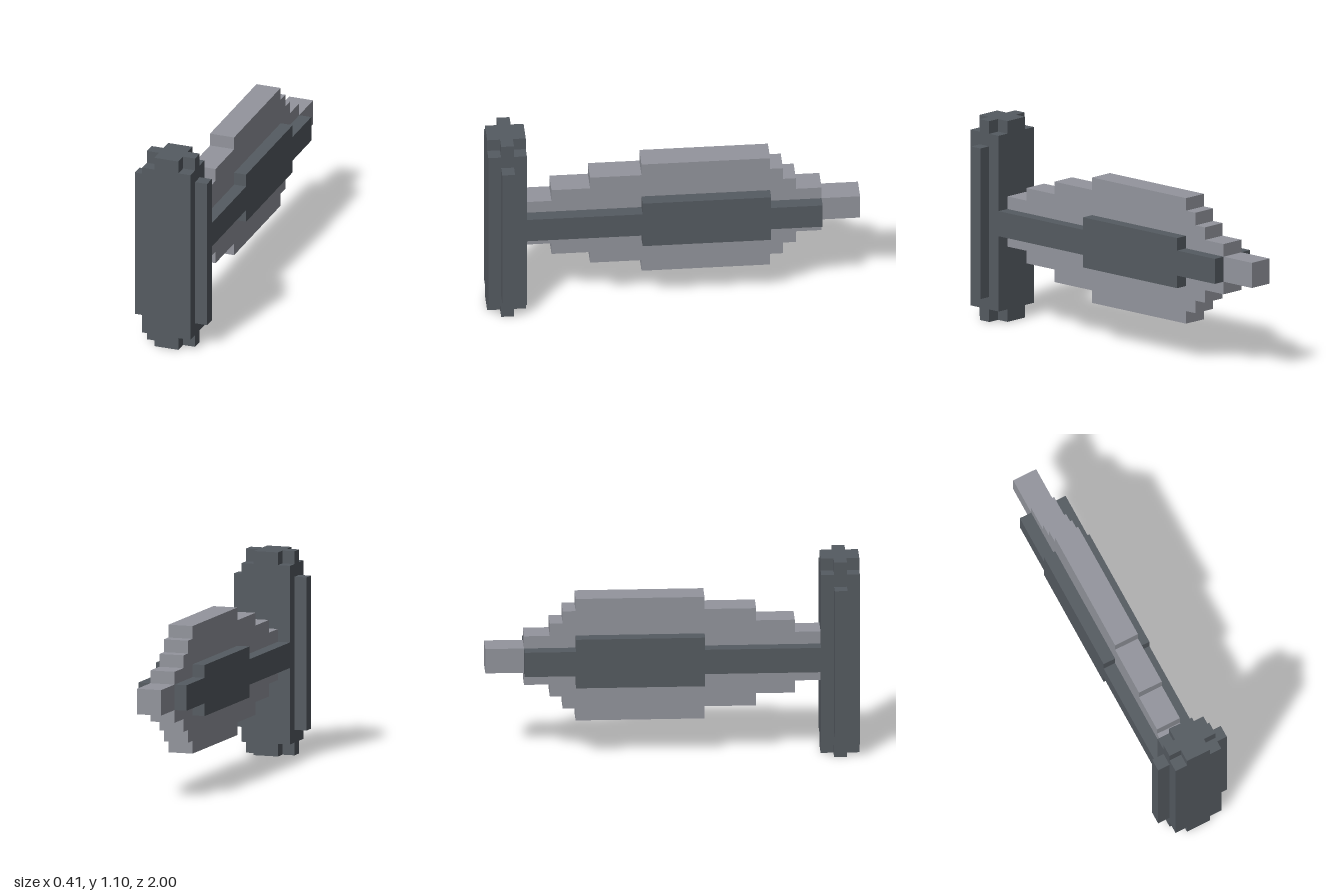
import * as THREE from 'three';

const U = 2 / 29; // one block
const MID = 8;    // height of the centre line, in blocks

const darkGrey = new THREE.MeshStandardMaterial({ color: 0x555b61 });
const lightGrey = new THREE.MeshStandardMaterial({ color: 0x93959d });

// Box from block ranges; depth is counted back from the front
function block(name, x0, x1, y0, y1, d0, d1, material) {
  const geometry = new THREE.BoxGeometry((x1 - x0) * U, (y1 - y0) * U, (d1 - d0) * U);
  geometry.translate((x0 + x1) / 2 * U, (y0 + y1) / 2 * U, 1 - (d0 + d1) / 2 * U);
  const mesh = new THREE.Mesh(geometry, material);
  mesh.name = name;
  return mesh;
}

// Stepped slab, symmetric about the centre line; steps are [depth, half height], then the end depth
function steppedSlab(name, x0, x1, steps, end, material) {
  const upper = [];
  steps.forEach(([depth, half], i) => {
    const next = i + 1 < steps.length ? steps[i + 1][0] : end;
    upper.push([depth, half], [next, half]);
  });
  const lower = upper.map(([d, h]) => [d, -h]).reverse();
  const points = [...upper, ...lower].map(([d, h]) => new THREE.Vector2(1 - d * U, (MID + h) * U));
  const geometry = new THREE.ExtrudeGeometry(new THREE.Shape(points), { depth: (x1 - x0) * U, bevelEnabled: false });
  geometry.rotateY(-Math.PI / 2);
  geometry.translate(x1 * U, 0, 0);
  const mesh = new THREE.Mesh(geometry, material);
  mesh.name = name;
  return mesh;
}

export function createModel() {
  const model = new THREE.Group();
  model.name = 'model';

  // Upright front plate with notched corners
  const plate = new THREE.Group();
  plate.name = 'frontPlate';
  plate.add(block('plateBody', -2, 2, 1, 15, 0, 3, darkGrey));
  for (const y of [0, 15]) {
    const cap = y ? 'topCap' : 'bottomCap';
    plate.add(block(cap, -1, 1, y, y + 1, 0, 3, darkGrey));
    for (const x of [-2, 1]) plate.add(block(cap + 'Side', x, x + 1, y, y + 1, 1, 2, darkGrey));
  }

  // Thin ribs along both sides of the plate
  plate.add(block('rightRib', -3, -2, 2, 14, 1, 2, darkGrey));
  plate.add(block('leftRib', 2, 3, 2, 14, 1, 2, darkGrey));
  model.add(plate);

  // Light stepped body with the rear tip
  const bodySteps = [[3, 2], [5, 3], [8, 4], [12, 5], [22, 4], [23, 3], [24, 2], [26, 1]];
  model.add(steppedSlab('body', -1, 1, bodySteps, 29, lightGrey));

  // Dark rails on both flanks, taller in the middle
  const railSteps = [[3, 1], [12, 2], [22, 1]];
  model.add(steppedSlab('rightRail', -2, -1, railSteps, 26, darkGrey));
  model.add(steppedSlab('leftRail', 1, 2, railSteps, 26, darkGrey));

  return model;
}
